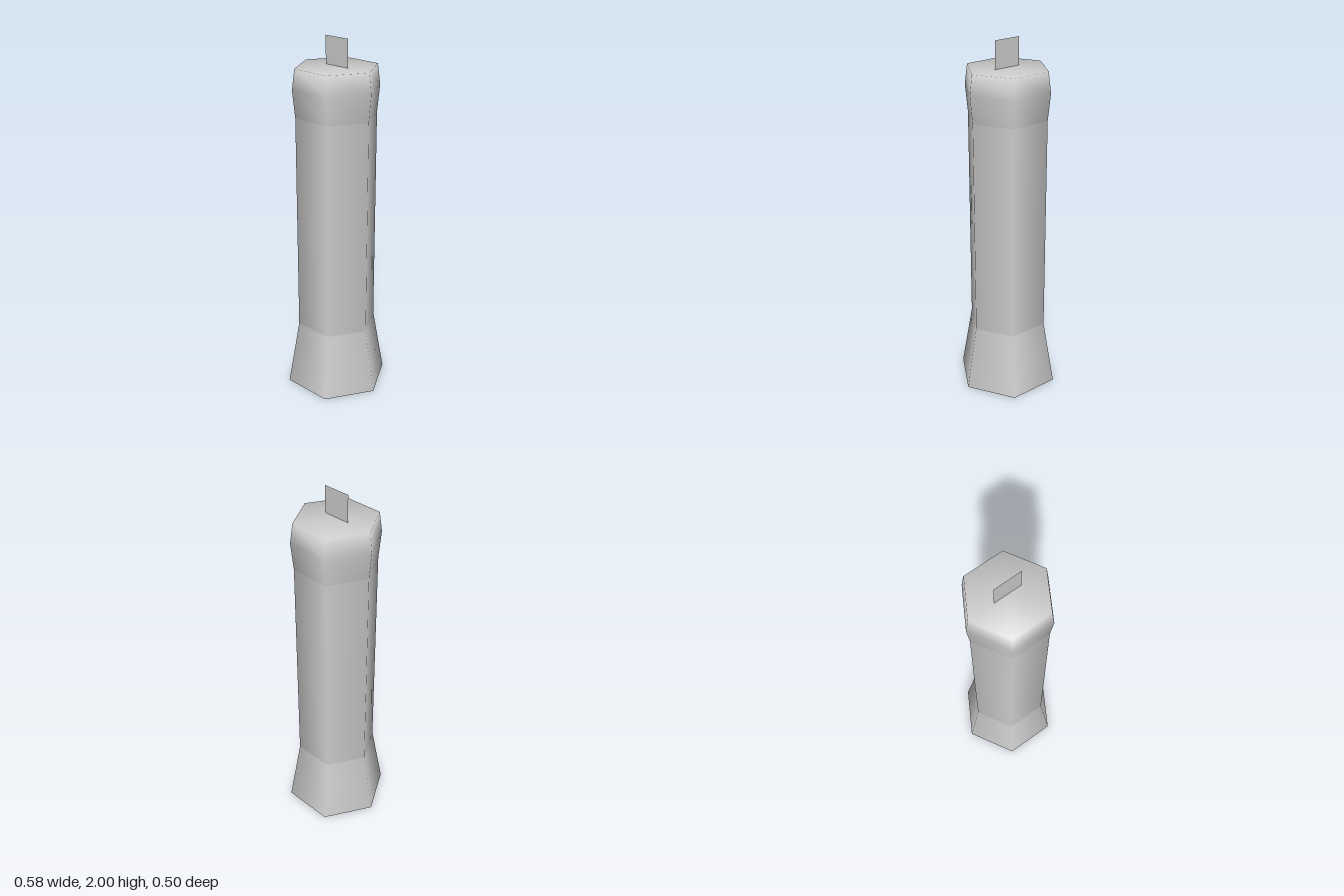
import * as THREE from 'three';

const SIDES = 6;

export function createModel() {
  const group = new THREE.Group();
  const material = new THREE.MeshStandardMaterial({ color: 0xcccccc });

  const add = (name, geometry, mat = material) => {
    const mesh = new THREE.Mesh(geometry, mat);
    mesh.name = name;
    group.add(mesh);
    return mesh;
  };

  // Smooth-shaded hexagonal section with corners on the x axis; profile is [radius, y] from bottom to top
  const hexSection = (name, profile) => {
    const points = profile.map(([r, y]) => new THREE.Vector2(r, y));
    return add(name, new THREE.LatheGeometry(points, SIDES, Math.PI / 2));
  };

  // Candle body: flared foot, straight shaft, swollen head with closed top
  hexSection('flaredFoot', [[0.29, 0], [0.225, 0.37]]);
  hexSection('shaft', [[0.225, 0.37], [0.225, 1.59]]);
  hexSection('head', [[0.225, 1.59], [0.24, 1.74], [0.225, 1.85], [0, 1.85]]);

  // Flat underside
  add('underside', new THREE.CircleGeometry(0.29, SIDES).rotateX(Math.PI / 2));

  // Thin flat wick standing on the top
  const wickMaterial = new THREE.MeshStandardMaterial({ color: 0xcccccc, side: THREE.DoubleSide });
  add('wick', new THREE.PlaneGeometry(0.156, 0.15), wickMaterial).position.y = 1.925;

  return group;
}
